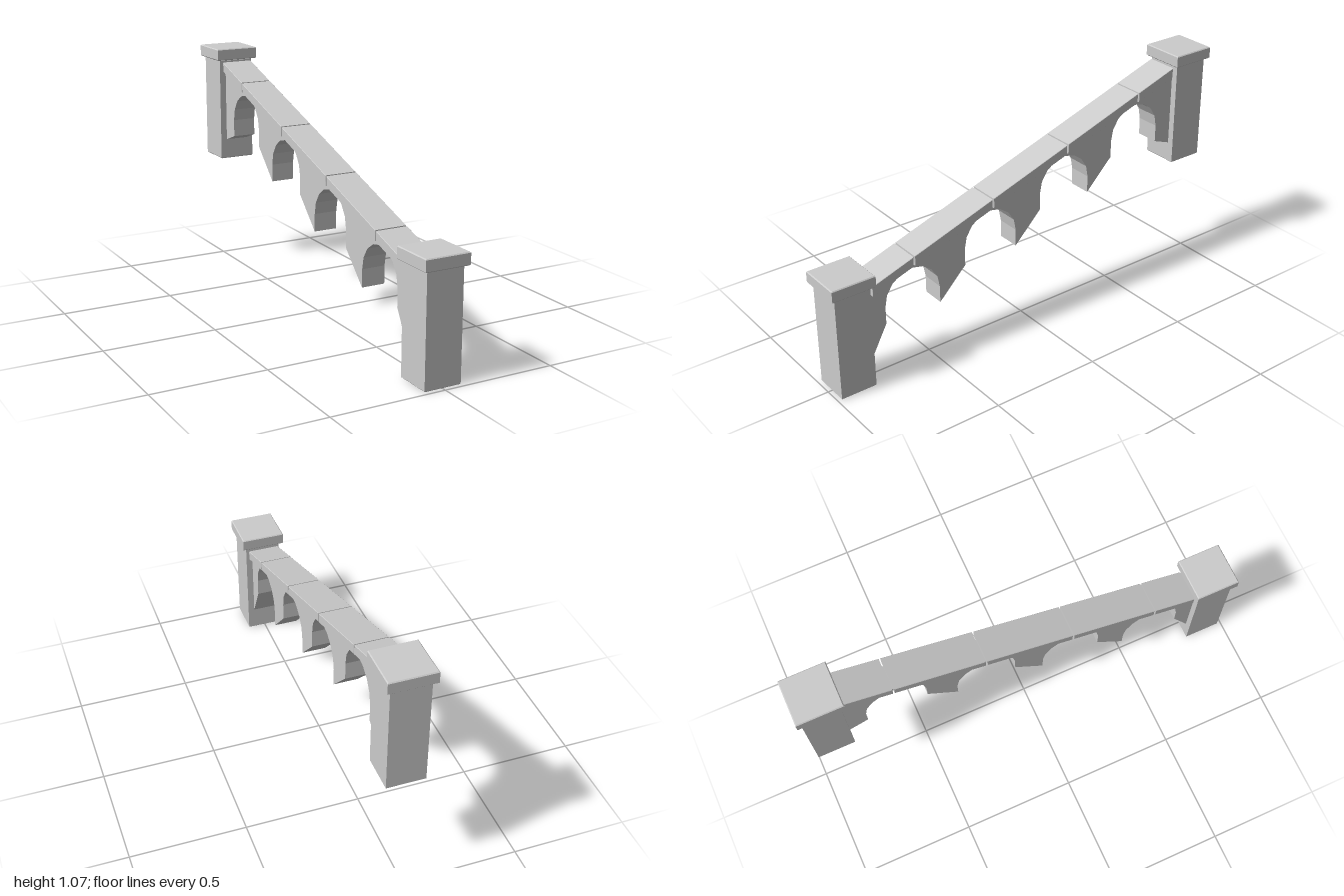
import * as THREE from 'three';

const BEVEL = 0.004;
const SLOPE = -1 / 3; // railing rises towards the back
const railTop = (z) => 0.735 + SLOPE * z;

const stone = new THREE.MeshStandardMaterial({ color: 0xcccccc });
stone.name = 'pale stone';

function polygon(points) {
  return new THREE.Shape(points.map(([a, b]) => new THREE.Vector2(a, b)));
}

// Extrudes an outline, centred on its depth, with an optional small chamfer
function slab(points, depth, bevel) {
  const geometry = new THREE.ExtrudeGeometry(polygon(points), {
    depth: depth - 2 * bevel,
    bevelEnabled: bevel > 0,
    bevelThickness: bevel,
    bevelSize: bevel,
    bevelOffset: -bevel,
    bevelSegments: 1,
  });
  return geometry.translate(0, 0, -(depth - 2 * bevel) / 2);
}

// Outline given as (z, y), thickness across x
const sideSlab = (points, width, bevel) => slab(points, width, bevel).rotateY(-Math.PI / 2);

// Upright block with chamfered top and bottom
function block(width, y0, y1, z) {
  const h = width / 2;
  const geometry = slab([[-h, -h], [h, -h], [h, h], [-h, h]], y1 - y0, BEVEL);
  return geometry.rotateX(-Math.PI / 2).translate(0, (y0 + y1) / 2, z);
}

export function createModel() {
  const model = new THREE.Group();
  model.name = 'slopedBalustrade';
  const add = (name, geometry, parent = model) => {
    const mesh = new THREE.Mesh(geometry, stone);
    mesh.name = name;
    parent.add(mesh);
  };

  // End posts with overhanging caps
  for (const [name, z, base] of [['lowerPost', 0.9, 0], ['upperPost', -0.9, 0.533]]) {
    const post = new THREE.Group();
    post.name = name;
    add(name + 'Shaft', block(0.165, base, base + 0.479, z), post);
    add(name + 'Cap', block(0.2, base + 0.479, base + 0.533, z), post);
    model.add(post);
  }

  // Arcaded wall: underside runs from the lower post through four stepped arches
  const end = 0.82;
  const under = 0.044;
  const outline = [[end, railTop(end) - under], [end, 0.1]];
  for (let i = 0; i < 4; i++) {
    const centre = 0.602 - 0.4 * i;
    const crown = 0.474 + 0.1333 * i;
    const radius = 0.134, rise = 0.139, leg = 0.217;
    outline.push([centre + radius, crown - leg]);
    for (let k = 0; k <= 8; k++) {
      const a = (k / 8) * Math.PI;
      outline.push([centre + radius * Math.cos(a), crown - rise + rise * Math.sin(a)]);
    }
    outline.push([centre - radius, crown - leg]);
  }
  outline.push([-end, 0.625], [-end, railTop(-end) - under]);
  add('archedWall', sideSlab(outline, 0.106, 0));

  // Sloped handrail in five pieces with narrow joints
  const joints = [0.806, 0.6, 0.2, -0.2, -0.6, -0.806];
  for (let i = 0; i < 5; i++) {
    const z0 = joints[i] - 0.003;
    const z1 = joints[i + 1] + 0.003;
    const piece = [
      [z0, railTop(z0) - 0.045], [z0, railTop(z0)],
      [z1, railTop(z1)], [z1, railTop(z1) - 0.045],
    ];
    add('handrailPiece' + (i + 1), sideSlab(piece, 0.145, 0.002));
  }

  return model;
}
